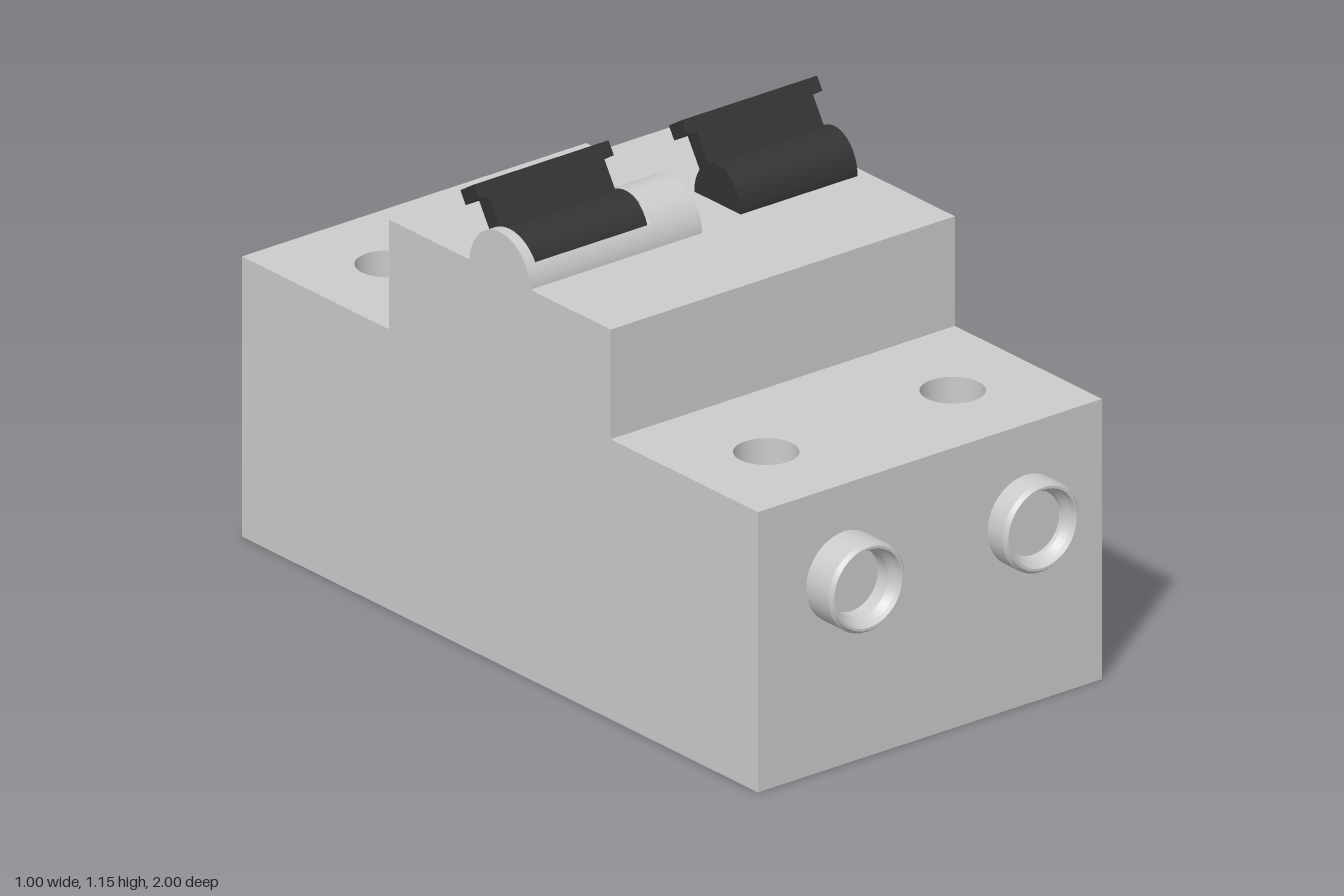
import * as THREE from 'three';

const grey = new THREE.MeshStandardMaterial({ color: 0xcccccc, side: THREE.DoubleSide });
const dark = new THREE.MeshStandardMaterial({ color: 0x333333, side: THREE.DoubleSide });

const STEP = 0.69, TOP = 0.96;           // heights of the two levels
const FRONT = 0.91, BACK = -0.93;        // end walls
const RISE_F = 0.385, RISE_B = -0.405;   // walls of the raised middle
const PIVOT_Z = -0.01;                   // axis of the switches

function add(parent, name, geometry, material, x = 0, y = 0, z = 0) {
  const mesh = new THREE.Mesh(geometry, material);
  mesh.name = name;
  mesh.position.set(x, y, z);
  parent.add(mesh);
  return mesh;
}

// Thin rectangular panel with round holes given as [x, y, radius]
function panel(x0, x1, y0, y1, holes = []) {
  const s = new THREE.Shape();
  s.moveTo(x0, y0).lineTo(x1, y0).lineTo(x1, y1).lineTo(x0, y1).closePath();
  for (const [x, y, r] of holes) s.holes.push(new THREE.Path().absarc(x, y, r, 0, Math.PI * 2, true));
  return new THREE.ShapeGeometry(s, 24);
}

// Part of a cylinder wall along x; angle 0 is the front, PI/2 the top
function arc(r, x0, x1, start, length, open = true) {
  return new THREE.CylinderGeometry(r, r, x1 - x0, 32, 1, open, start, length)
    .rotateZ(Math.PI / 2).translate((x0 + x1) / 2, 0, 0);
}

function buildShell(ports, screws) {
  const shell = new THREE.Group();
  shell.name = 'shell';
  const portHoles = (side) => ports.filter((p) => p.side === side).map((p) => [p.x * side, p.y, 0.105]);
  const screwHoles = (side) => screws.filter((s) => s.z * side > 0).map((s) => [s.x, -s.z, 0.075]);

  // Upright walls
  add(shell, 'frontWall', panel(-0.5, 0.5, 0, STEP, portHoles(1)), grey, 0, 0, FRONT);
  add(shell, 'backWall', panel(-0.5, 0.5, 0, STEP, portHoles(-1)).rotateY(Math.PI), grey, 0, 0, BACK);
  add(shell, 'frontRiser', panel(-0.5, 0.5, STEP, TOP), grey, 0, 0, RISE_F);
  add(shell, 'backRiser', panel(-0.5, 0.5, STEP, TOP).rotateY(Math.PI), grey, 0, 0, RISE_B);

  // Level surfaces
  const level = (name, z0, z1, y, holes) =>
    add(shell, name, panel(-0.5, 0.5, -z1, -z0, holes).rotateX(-Math.PI / 2), grey, 0, y, 0);
  level('frontStep', RISE_F, FRONT, STEP, screwHoles(1));
  level('backStep', BACK, RISE_B, STEP, screwHoles(-1));
  level('topPlate', RISE_B, RISE_F, TOP);

  // Stepped side walls
  const outline = [[BACK, 0], [FRONT, 0], [FRONT, STEP], [RISE_F, STEP],
    [RISE_F, TOP], [RISE_B, TOP], [RISE_B, STEP], [BACK, STEP]];
  for (const side of [-1, 1]) {
    const s = new THREE.Shape(outline.map(([z, y]) => new THREE.Vector2(-side * z, y)));
    add(shell, side > 0 ? 'leftWall' : 'rightWall',
      new THREE.ShapeGeometry(s).rotateY(side * Math.PI / 2), grey, side * 0.5);
  }
  return shell;
}

// Cable port: short collar with a shallow blind bore
function buildPort({ x, y, side, length }) {
  const profile = [[0, 0.025], [0.078, 0.025], [0.078, 0.025], [0.08, length - 0.03], [0.08, length - 0.03],
    [0.092, length - 0.012], [0.092, length - 0.012], [0.096, length], [0.096, length], [0.102, length],
    [0.102, length], [0.11, length - 0.01], [0.11, length - 0.01], [0.11, 0]];
  const geo = new THREE.LatheGeometry(profile.map(([r, h]) => new THREE.Vector2(r, h)).reverse(), 40);
  geo.rotateX(side * Math.PI / 2);
  const mesh = new THREE.Mesh(geo, grey);
  mesh.name = 'cablePort';
  mesh.position.set(x, y, side > 0 ? FRONT : BACK);
  return mesh;
}

// Sunken screw with a cross slot, at the bottom of a round well
function buildScrew({ x, z }) {
  const g = new THREE.Group();
  g.name = 'terminalScrew';
  g.position.set(x, 0, z);
  add(g, 'screwWell', new THREE.CylinderGeometry(0.075, 0.075, 0.08, 32, 1, true), grey, 0, STEP - 0.04, 0);
  const head = new THREE.Shape().absarc(0, 0, 0.074, 0, Math.PI * 2);
  const a = 0.008, b = 0.058;
  const cross = [[a, a], [a, b], [-a, b], [-a, a], [-b, a], [-b, -a], [-a, -a], [-a, -b],
    [a, -b], [a, -a], [b, -a], [b, a]];
  head.holes.push(new THREE.Path(cross.map(([u, v]) => new THREE.Vector2(u, v))));
  add(g, 'screwHead', new THREE.ExtrudeGeometry(head, { depth: 0.02, bevelEnabled: false, curveSegments: 24 })
    .rotateX(-Math.PI / 2), dark, 0, 0.595, 0);
  add(g, 'screwBase', new THREE.CylinderGeometry(0.074, 0.074, 0.02, 32), dark, 0, 0.585, 0);
  return g;
}

// Rocker: half-round barrel with a backward leaning T-shaped lever
function buildSwitch(x, y) {
  const g = new THREE.Group();
  g.name = 'rockerSwitch';
  g.position.set(x, y, PIVOT_Z);
  add(g, 'barrel', arc(0.095, -0.17, 0.17, 0, Math.PI, false).scale(1, 1, 0.87), dark);
  const lever = new THREE.Group();
  lever.name = 'lever';
  lever.rotation.x = -0.56;
  add(lever, 'leverNeck', new THREE.BoxGeometry(0.335, 0.12, 0.041), dark, 0, 0.115, -0.0045);
  add(lever, 'leverBar', new THREE.BoxGeometry(0.392, 0.036, 0.056), dark, 0, 0.184, -0.012);
  g.add(lever);
  return g;
}

// Half-round cover with a slot for the rocker, open at its inner end
function buildCover() {
  const g = new THREE.Group();
  g.name = 'switchCover';
  g.position.set(0, TOP - 0.003, PIVOT_Z);
  const r = 0.108, slot = 0.56;
  add(g, 'coverOuterBand', arc(r, -0.5, -0.472, 0, Math.PI), grey);
  add(g, 'coverInnerBand', arc(r, -0.134, 0, 0, Math.PI), grey);
  add(g, 'coverFrontStrip', arc(r, -0.472, -0.134, 0, slot), grey);
  add(g, 'coverBackStrip', arc(r, -0.472, -0.134, Math.PI - slot, slot), grey);
  add(g, 'coverEnd', new THREE.CircleGeometry(r, 32, 0, Math.PI).rotateY(-Math.PI / 2), grey, -0.5);
  return g;
}

export function createModel() {
  const model = new THREE.Group();
  model.name = 'circuitBreaker';
  const ports = [
    { x: -0.25, y: 0.463, side: 1, length: 0.09 },
    { x: 0.277, y: 0.455, side: 1, length: 0.065 },
    { x: -0.28, y: 0.46, side: -1, length: 0.07 },
    { x: 0.275, y: 0.46, side: -1, length: 0.07 },
  ];
  const screws = [];
  for (const x of [-0.272, 0.27]) for (const z of [0.66, -0.69]) screws.push({ x, z });

  model.add(buildShell(ports, screws));
  ports.forEach((p) => model.add(buildPort(p)));
  screws.forEach((s) => model.add(buildScrew(s)));
  model.add(buildCover(), buildSwitch(-0.304, TOP + 0.01), buildSwitch(0.302, TOP));
  return model;
}
